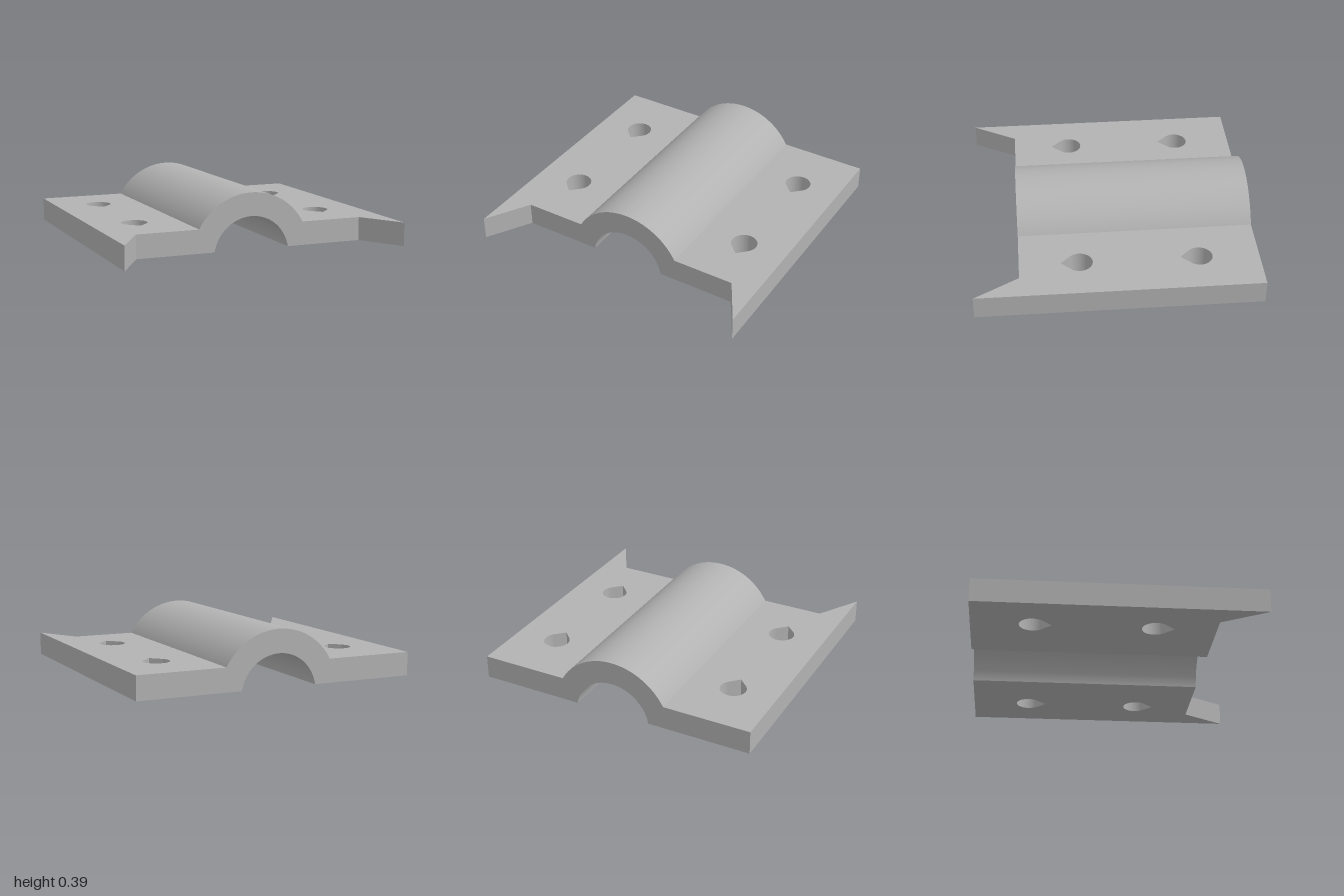
import * as THREE from 'three';
import { toCreasedNormals } from 'three/addons/utils/BufferGeometryUtils.js';

const BACK = -0.97, FRONT = 0.665, TIP = 0.97;   // z extents
const THICK = 0.163, SEAM = 0.38;                // plate thickness, arch half width
const CY = -0.048, R_OUT = 0.436, R_IN = 0.275;  // arch circles

const extrude = (shape, depth) => toCreasedNormals(
  new THREE.ExtrudeGeometry(shape, { depth, bevelEnabled: false, curveSegments: 48 }), 0.5);

// Teardrop hole: round at the back, with a right-angled point to the front
function teardrop(x, z, r) {
  const path = new THREE.Path();
  path.absarc(x, -z, r, -Math.PI / 4, Math.PI * 5 / 4, false);
  path.lineTo(x, -z - r * Math.SQRT2);
  path.closePath();
  return path;
}

// Flat flange with a pointed front corner and two holes (drawn in x, -z)
function flangeGeometry(side) {
  const outline = [[SEAM, BACK], [1, BACK], [1, TIP], [0.82, FRONT], [SEAM, FRONT]];
  const shape = new THREE.Shape(outline.map(([x, z]) => new THREE.Vector2(side * x, -z)));
  for (const z of [-0.56, 0.255]) shape.holes.push(teardrop(side * 0.69, z, 0.09));
  return extrude(shape, THICK).rotateX(-Math.PI / 2);
}

// Half-pipe arch with feet that meet the flanges
function archGeometry() {
  const inner = Math.asin(-CY / R_IN);
  const outer = Math.atan2(THICK - CY, SEAM);
  const shape = new THREE.Shape();
  shape.moveTo(SEAM, 0);
  shape.lineTo(SEAM, THICK);
  shape.absarc(0, CY, R_OUT, outer, Math.PI - outer, false);
  shape.lineTo(-SEAM, THICK);
  shape.lineTo(-SEAM, 0);
  shape.absarc(0, CY, R_IN, Math.PI - inner, inner, true);
  shape.closePath();
  return extrude(shape, FRONT - BACK).translate(0, 0, BACK);
}

export function createModel() {
  const model = new THREE.Group();
  model.name = 'pipeClamp';
  const grey = new THREE.MeshStandardMaterial({ color: 0xb2b2b2 });
  grey.name = 'grey';

  const add = (name, geometry) => {
    const mesh = new THREE.Mesh(geometry, grey);
    mesh.name = name;
    model.add(mesh);
  };
  add('arch', archGeometry());
  add('leftFlange', flangeGeometry(1));
  add('rightFlange', flangeGeometry(-1));
  return model;
}
